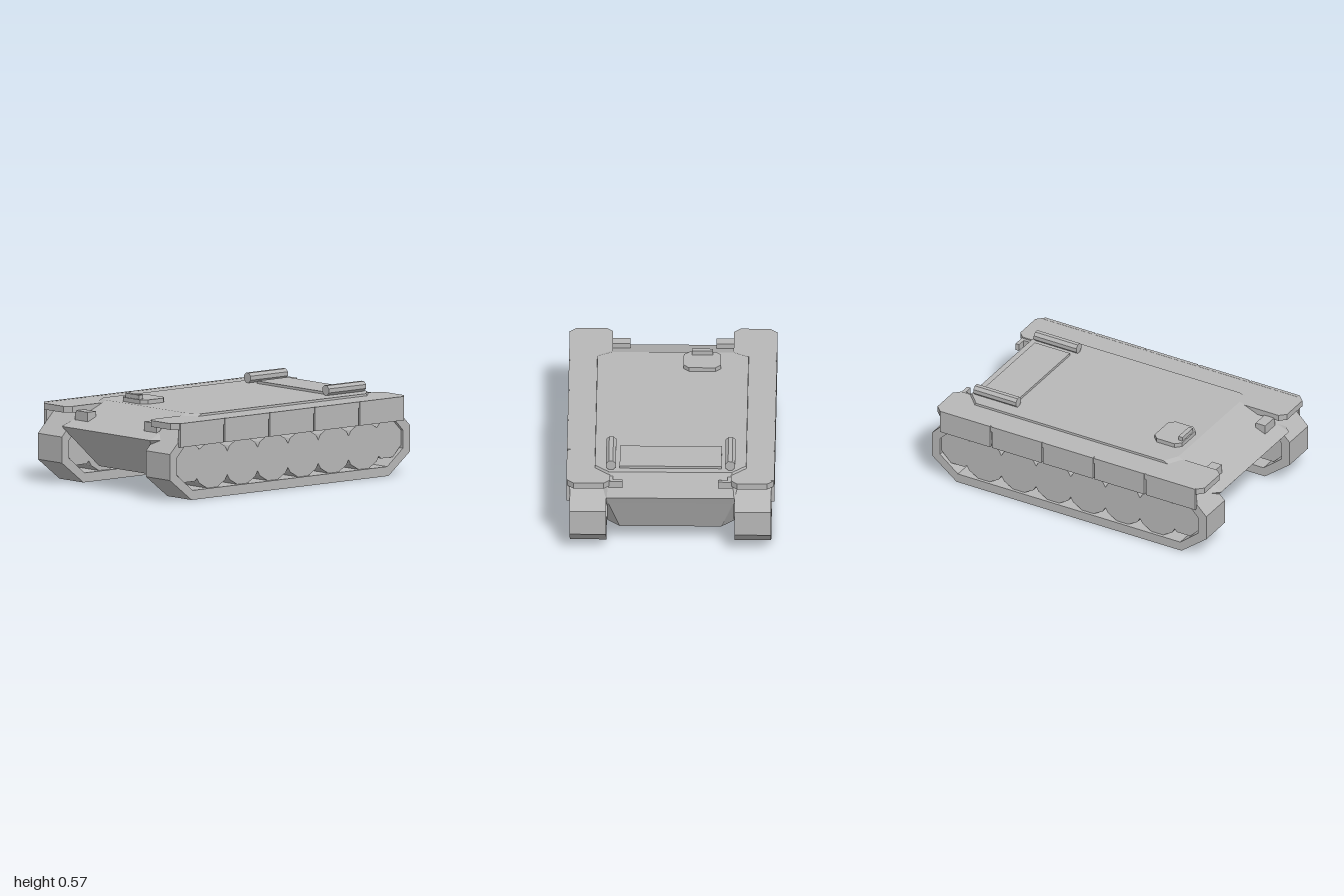
import * as THREE from 'three';

const armourGrey = new THREE.MeshStandardMaterial({ color: 0xb6b6b6, flatShading: true });
armourGrey.name = 'armour grey';

function add(parent, name, geometry, x = 0, y = 0, z = 0) {
  const mesh = new THREE.Mesh(geometry, armourGrey);
  mesh.name = name;
  mesh.position.set(x, y, z);
  parent.add(mesh);
  return mesh;
}

const box = (w, h, d) => new THREE.BoxGeometry(w, h, d);
const points = (list) => list.map(([x, y]) => new THREE.Vector2(x, y));

// Flat plate with chamfered corners, lying on its base
function chamferedPlate(w, d, h, c) {
  const a = w / 2, b = d / 2;
  const shape = new THREE.Shape(points([
    [a, -b + c], [a, b - c], [a - c, b], [-a + c, b],
    [-a, b - c], [-a, -b + c], [-a + c, -b], [a - c, -b],
  ]));
  return new THREE.ExtrudeGeometry(shape, { depth: h, bevelEnabled: false }).rotateX(-Math.PI / 2);
}

// Polygonal disc or drum with its axle along x, flats at top and bottom
function drum(radius, width, sides) {
  return new THREE.CylinderGeometry(radius, radius, width, sides, 1, false, Math.PI / sides).rotateZ(Math.PI / 2);
}

// Hull lofted through eight-sided plan sections at rising heights
function hullGeometry() {
  // y, half width, front end half width, front z, front chamfer z, rear z, rear chamfer z, rear end half width
  const levels = [
    [0.11, 0.40, 0.31, 0.77, 0.68, -0.84, -0.76, 0.32],
    [0.32, 0.40, 0.40, 0.944, 0.94, -0.92, -0.915, 0.39],
    [0.37, 0.49, 0.42, 0.985, 0.91, -0.94, -0.87, 0.40],
    [0.51, 0.475, 0.38, 0.65, 0.595, -0.855, -0.77, 0.385],
  ];
  const rings = levels.map(([y, w, wf, f, cf, r, cr, wr]) => [
    [wf, y, f], [w, y, cf], [w, y, cr], [wr, y, r],
    [-wr, y, r], [-w, y, cr], [-w, y, cf], [-wf, y, f],
  ]);
  const positions = [];
  const tri = (a, b, c) => positions.push(...a, ...b, ...c);
  for (let k = 0; k < rings.length - 1; k++) {
    for (let i = 0; i < 8; i++) {
      const j = (i + 1) % 8;
      tri(rings[k][i], rings[k][j], rings[k + 1][j]);
      tri(rings[k][i], rings[k + 1][j], rings[k + 1][i]);
    }
  }
  const floor = rings[0], roof = rings[rings.length - 1];
  for (let i = 1; i < 7; i++) {
    tri(floor[0], floor[i + 1], floor[i]);
    tri(roof[0], roof[i], roof[i + 1]);
  }
  const geometry = new THREE.BufferGeometry();
  geometry.setAttribute('position', new THREE.Float32BufferAttribute(positions, 3));
  geometry.computeVertexNormals();
  return geometry;
}

// Closed track loop with an open middle, extruded across its width
function trackGeometry(width) {
  const shape = new THREE.Shape(points([
    [-0.82, 0], [0.82, 0], [1, 0.14], [1, 0.305],
    [0.86, 0.445], [-0.86, 0.445], [-1, 0.305], [-1, 0.14],
  ]));
  shape.holes.push(new THREE.Path(points([
    [-0.81, 0.06], [-0.94, 0.165], [-0.94, 0.28], [-0.835, 0.39],
    [0.835, 0.39], [0.94, 0.28], [0.94, 0.165], [0.81, 0.06],
  ])));
  return new THREE.ExtrudeGeometry(shape, { depth: width, bevelEnabled: false })
    .translate(0, 0, -width / 2).rotateY(Math.PI / 2);
}

function addRunningGear(parent, side) {
  const group = new THREE.Group();
  group.name = side > 0 ? 'leftRunningGear' : 'rightRunningGear';
  parent.add(group);
  const x = side * 0.518;
  add(group, 'track', trackGeometry(0.23), x);

  // Six overlapping road wheels, with a smaller wheel at each end
  for (let i = 0; i < 6; i++) {
    add(group, 'roadWheel', drum(0.152, 0.19, 12), x, 0.205, (i - 2.5) * 0.2525);
  }
  for (const end of [-1, 1]) {
    add(group, 'endWheel', drum(0.127, 0.19, 8), x, 0.23, end * 0.823);
  }

  // Fender with chamfered ends
  add(group, 'fender', chamferedPlate(0.268, 1.945, 0.04, 0.04), side * 0.514, 0.456, 0);

  // Side skirt in five panels with narrow gaps
  const joints = [0.937, 0.567, 0.192, -0.183, -0.558, -0.937];
  for (let i = 0; i < 5; i++) {
    const length = joints[i] - joints[i + 1] - 0.014;
    add(group, 'skirtPanel', box(0.022, 0.152, length), side * 0.643, 0.421, (joints[i] + joints[i + 1]) / 2);
  }
}

export function createModel() {
  const model = new THREE.Group();
  model.name = 'trackedCarrier';
  add(model, 'hull', hullGeometry());

  for (const side of [-1, 1]) {
    addRunningGear(model, side);
    add(model, 'headlight', box(0.12, 0.06, 0.07), side * 0.33, 0.437, 0.865);
    add(model, 'rearLamp', box(0.09, 0.045, 0.025), side * 0.345, 0.465, -0.925);
    add(model, 'rearLampBracket', box(0.03, 0.045, 0.07), side * 0.375, 0.465, -0.895);
    // Stowage tube lying along the deck edge
    add(model, 'deckTube', drum(0.034, 0.31, 8).rotateY(Math.PI / 2), side * 0.375, 0.543, -0.675);
  }

  // Rear roof hatch
  add(model, 'rearHatch', box(0.64, 0.02, 0.255), 0, 0.516, -0.68);

  // Driver's hatch with its periscope
  add(model, 'driverHatch', chamferedPlate(0.235, 0.2, 0.03, 0.035), -0.185, 0.507, 0.51);
  add(model, 'periscope', box(0.13, 0.03, 0.03), -0.185, 0.549, 0.587);
  return model;
}
